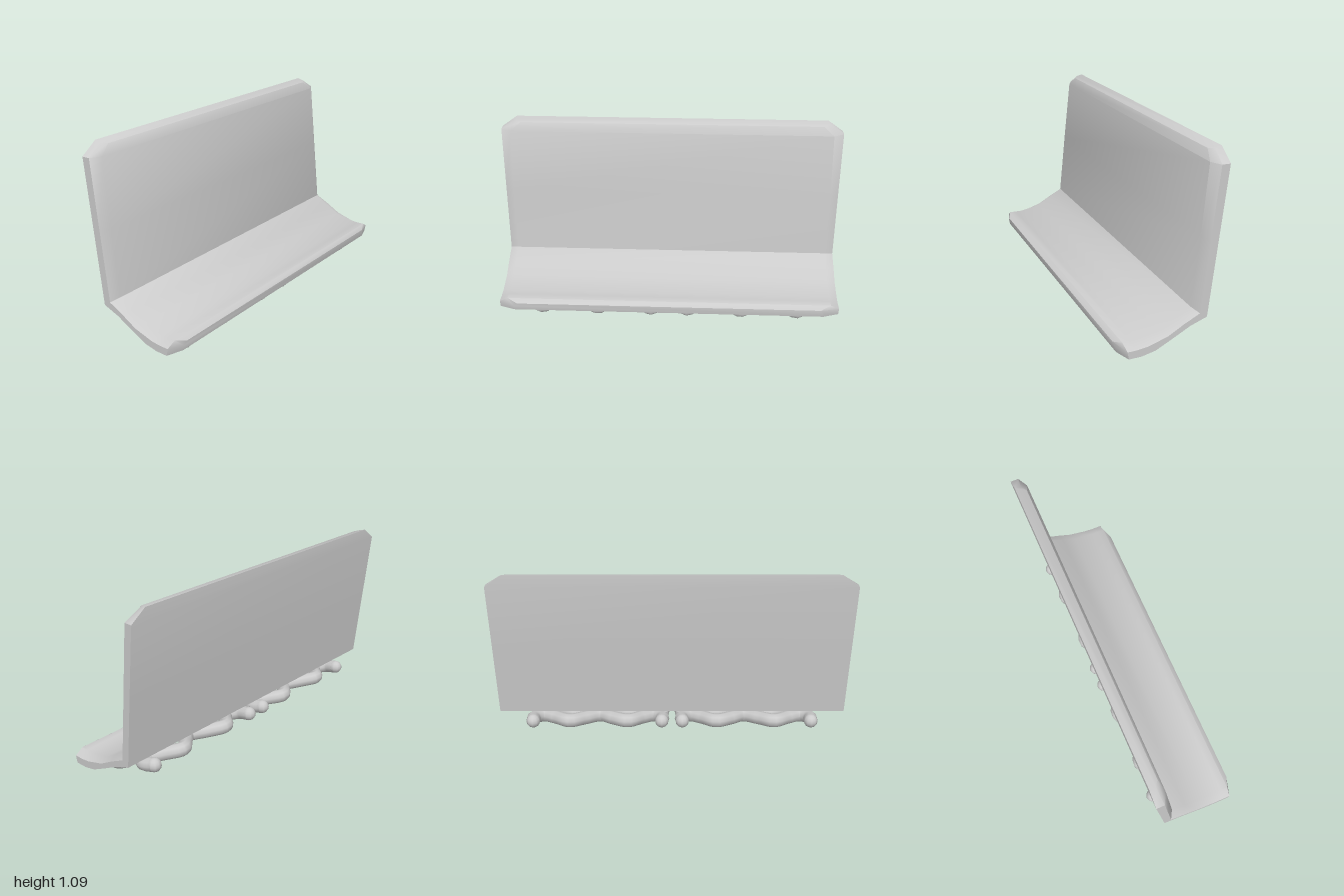
import * as THREE from 'three';
import { toCreasedNormals } from 'three/addons/utils/BufferGeometryUtils.js';

const material = new THREE.MeshStandardMaterial({ color: 0xcccccc, side: THREE.DoubleSide });

// Stations down the backrest and out along the seat:
// outer x, y, inner x, y, half length, rim chamfer
const stations = [
  [-0.277, 1.1, -0.218, 1.085, 0.91, 0.03],
  [-0.277, 1.035, -0.2, 1.035, 1, 0.06],
  [-0.235, 0.64, -0.163, 0.66, 1, 0.05],
  [-0.193, 0.24, -0.125, 0.285, 1, 0.05],
  [-0.1, 0.207, -0.04, 0.235, 1, 0.05],
  [0, 0.155, 0.04, 0.187, 1, 0.05],
  [0.09, 0.11, 0.165, 0.162, 1, 0.05],
  [0.165, 0.094, 0.205, 0.162, 1, 0.05],
  [0.235, 0.093, 0.248, 0.162, 1, 0.05],
  [0.265, 0.093, 0.275, 0.143, 0.91, 0.02],
];

// Cross-section at one station, running across the whole length
function ring([ox, oy, ix, iy, half, chamfer]) {
  const mx = ox + (ix - ox) * 0.6, my = oy + (iy - oy) * 0.6;
  return [
    [ox, oy, -half], [ox, oy, half],
    [mx, my, half], [ix, iy, half - chamfer],
    [ix, iy, chamfer - half], [mx, my, -half],
  ];
}

function shellGeometry() {
  const n = 6, positions = [], index = [];
  stations.forEach(s => ring(s).forEach(p => positions.push(...p)));
  for (let s = 0; s < stations.length - 1; s++) {
    for (let i = 0; i < n; i++) {
      const a = s * n + i, b = s * n + (i + 1) % n;
      index.push(a, a + n, b, b, a + n, b + n);
    }
  }
  // Close the top edge and the front lip
  const last = (stations.length - 1) * n;
  for (let i = 1; i < n - 1; i++) {
    index.push(0, i, i + 1);
    index.push(last, last + i + 1, last + i);
  }
  const geometry = new THREE.BufferGeometry();
  geometry.setAttribute('position', new THREE.Float32BufferAttribute(positions, 3));
  geometry.setIndex(index);
  return toCreasedNormals(geometry, 0.75);
}

// Zigzag rail: across (0 rear, 1 front) and position along the length
const zigzag = [
  [0, 0.815], [0.6, 0.82], [1, 0.77], [0.6, 0.69], [0.05, 0.6], [0.5, 0.52],
  [1, 0.43], [0.5, 0.35], [0.05, 0.26], [0.6, 0.18], [1, 0.11], [0.6, 0.06], [0, 0.06],
];

function springRail(name, rear, front, side) {
  const radius = 0.04;
  const points = zigzag.map(([t, z]) => new THREE.Vector3(
    THREE.MathUtils.lerp(rear[0], front[0], t),
    THREE.MathUtils.lerp(rear[1], front[1], t),
    z * side));
  const group = new THREE.Group();
  group.name = name;
  const curve = new THREE.CatmullRomCurve3(points);
  group.add(new THREE.Mesh(new THREE.TubeGeometry(curve, 60, radius, 10), material));
  // Rounded ends
  for (const p of [points[0], points[points.length - 1]]) {
    const cap = new THREE.Mesh(new THREE.SphereGeometry(radius, 10, 8), material);
    cap.position.copy(p);
    group.add(cap);
  }
  group.children.forEach(m => { m.name = name + 'Part'; });
  return group;
}

export function createModel() {
  const model = new THREE.Group();
  model.name = 'bench';

  const shell = new THREE.Mesh(shellGeometry(), material);
  shell.name = 'seatAndBackrest';
  model.add(shell);

  // Two rows of zigzag rails, mirrored about the middle
  for (const side of [1, -1]) {
    model.add(springRail('frontRail', [0.042, 0.103], [0.158, 0.045], side));
    model.add(springRail('rearRail', [-0.182, 0.168], [-0.05, 0.135], side));
  }
  return model;
}
